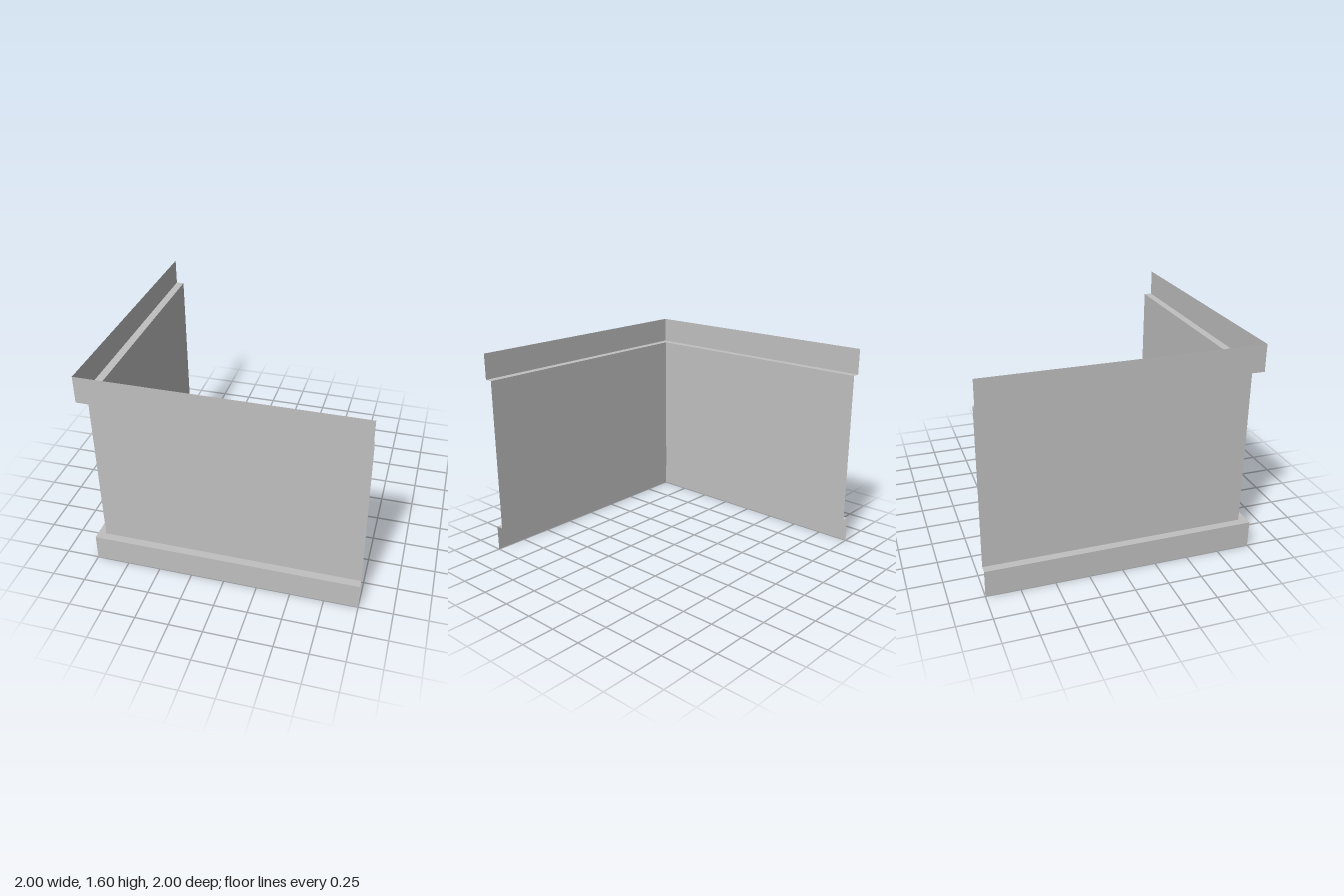
import * as THREE from 'three';

const metal = new THREE.MeshStandardMaterial({ color: 0xc0c0c0, side: THREE.DoubleSide });
metal.name = 'grey sheet metal';

// Strip between two profile points [inset, height], swept along one wall.
// The wall at z = 1 runs from the mitred corner to x = 1.
function strip([inset0, y0], [inset1, y1]) {
  const geometry = new THREE.BufferGeometry();
  geometry.setAttribute('position', new THREE.Float32BufferAttribute([
    inset0 - 1, y0, 1 - inset0,
    1, y0, 1 - inset0,
    1, y1, 1 - inset1,
    inset1 - 1, y1, 1 - inset1,
  ], 3));
  geometry.setIndex([0, 1, 2, 0, 2, 3]);
  geometry.computeVertexNormals();
  return geometry;
}

export function createModel() {
  const model = new THREE.Group();
  model.name = 'cornerPanel';

  // Folded sheet profile from bottom to top
  const depth = 0.06;
  const profile = [[0, 0], [0, 0.2], [depth, 0.2], [depth, 1.4], [0, 1.4], [0, 1.6]];
  const names = ['bottomBand', 'bottomLedge', 'recessedPanel', 'topLedge', 'topBand'];

  // Front wall, and the same wall mirrored across the corner's diagonal
  for (const side of ['front', 'right']) {
    const wall = new THREE.Group();
    wall.name = side + 'Wall';
    names.forEach((name, i) => {
      const geometry = strip(profile[i], profile[i + 1]);
      if (side === 'right') {
        // Swap x and z through the diagonal, then restore the winding
        geometry.applyMatrix4(new THREE.Matrix4().set(
          0, 0, -1, 0,
          0, 1, 0, 0,
          -1, 0, 0, 0,
          0, 0, 0, 1));
        geometry.setIndex([0, 2, 1, 0, 3, 2]);
        geometry.computeVertexNormals();
      }
      const mesh = new THREE.Mesh(geometry, metal);
      mesh.name = name;
      wall.add(mesh);
    });
    model.add(wall);
  }
  return model;
}
